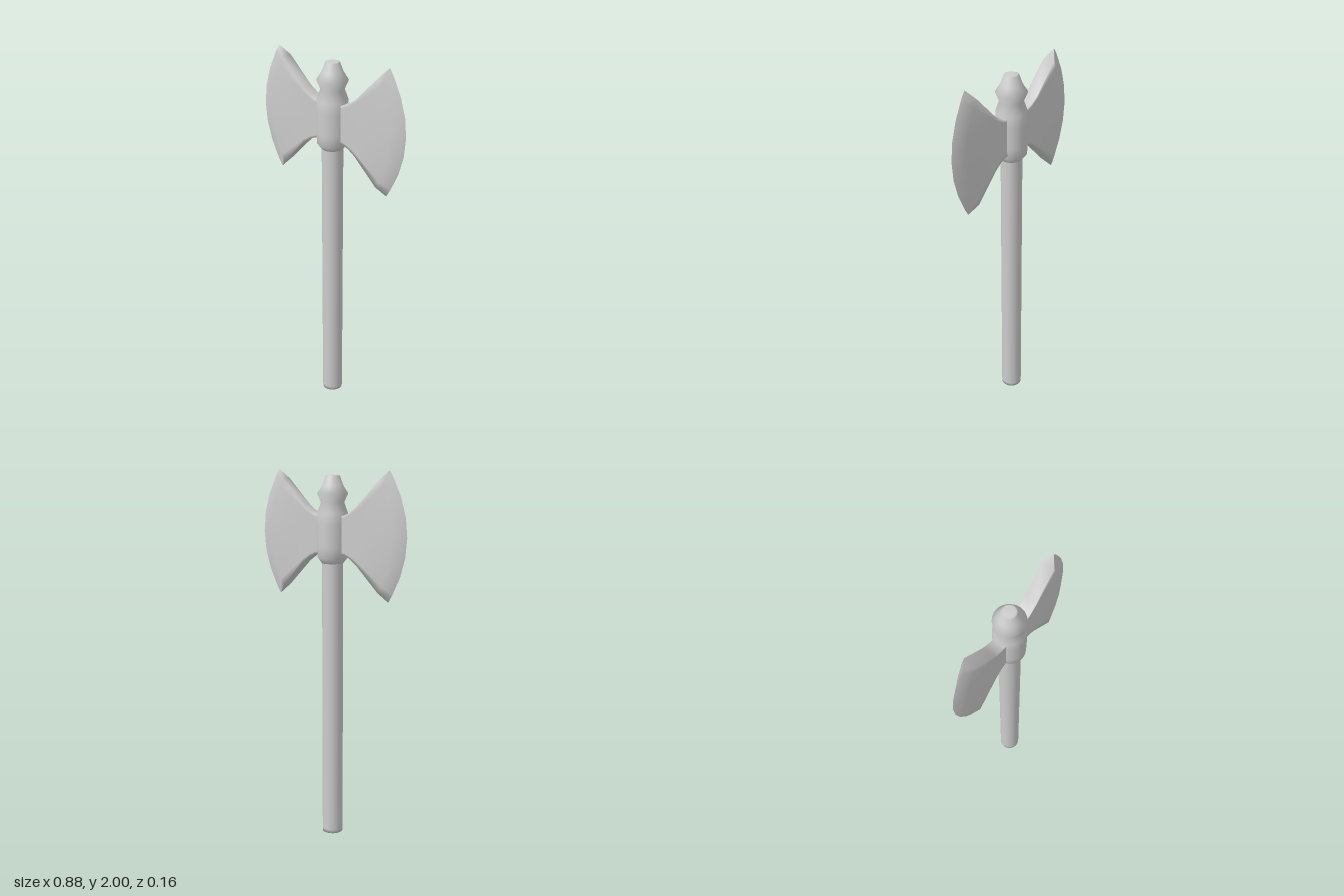
import * as THREE from 'three';

const material = new THREE.MeshStandardMaterial({ color: 0xcccccc });

// Turned part from [radius, y] pairs, listed bottom to top
function turned(name, profile) {
  const points = profile.map(([r, y]) => new THREE.Vector2(r, y));
  const mesh = new THREE.Mesh(new THREE.LatheGeometry(points, 32), material);
  mesh.name = name;
  return mesh;
}

// Blade skinned over closed rings that flare outwards and close to a sharp edge
function bladeGeometry() {
  const centreY = 1.665;
  // x at the corners, forward bulge at mid height, half height, half thickness
  const stations = [
    [0.05, 0, 0.1, 0.034],
    [0.085, 0, 0.102, 0.034],
    [0.12, 0.005, 0.118, 0.034],
    [0.16, 0.015, 0.148, 0.034],
    [0.29, 0.08, 0.285, 0.034],
    [0.335, 0.103, 0.335, 0],
  ];
  const heights = [-1, -0.88, -0.6, -0.3, 0, 0.3, 0.6, 0.88, 1];
  const ring = [
    ...heights.map((v) => [v, 1]),
    ...heights.map((v) => [-v, -1]),
  ];
  const positions = [];
  const index = [];
  const n = ring.length;
  stations.forEach(([x, bulge, half, thick], i) => {
    ring.forEach(([v, side], j) => {
      positions.push(x + bulge * (1 - v * v), centreY + half * v, thick * side);
      if (i === stations.length - 1) return;
      const a = i * n + j;
      const d = i * n + ((j + 1) % n);
      index.push(a, a + n, d + n, a, d + n, d);
    });
  });
  const geometry = new THREE.BufferGeometry();
  geometry.setAttribute('position', new THREE.Float32BufferAttribute(positions, 3));
  geometry.setIndex(index);
  geometry.computeVertexNormals();
  return geometry;
}

export function createModel() {
  const model = new THREE.Group();
  model.name = 'doubleAxe';

  // Long shaft with a closed foot
  model.add(turned('handle', [[0, 0], [0.055, 0], [0.056, 0.02], [0.056, 1.53]]));

  // Socket holding the blades, with a necked finial above
  model.add(turned('socket', [
    [0.05, 1.51], [0.057, 1.515], [0.08, 1.545], [0.082, 1.6], [0.082, 1.72],
    [0.08, 1.778], [0.061, 1.832], [0.081, 1.878], [0.055, 1.92],
    [0.038, 1.968], [0.03, 1.972], [0, 1.972],
  ]));

  // Two opposite blades
  const geometry = bladeGeometry();
  for (const [name, turn] of [['leftBlade', 0], ['rightBlade', Math.PI]]) {
    const blade = new THREE.Mesh(geometry, material);
    blade.name = name;
    blade.rotation.y = turn;
    model.add(blade);
  }
  return model;
}
